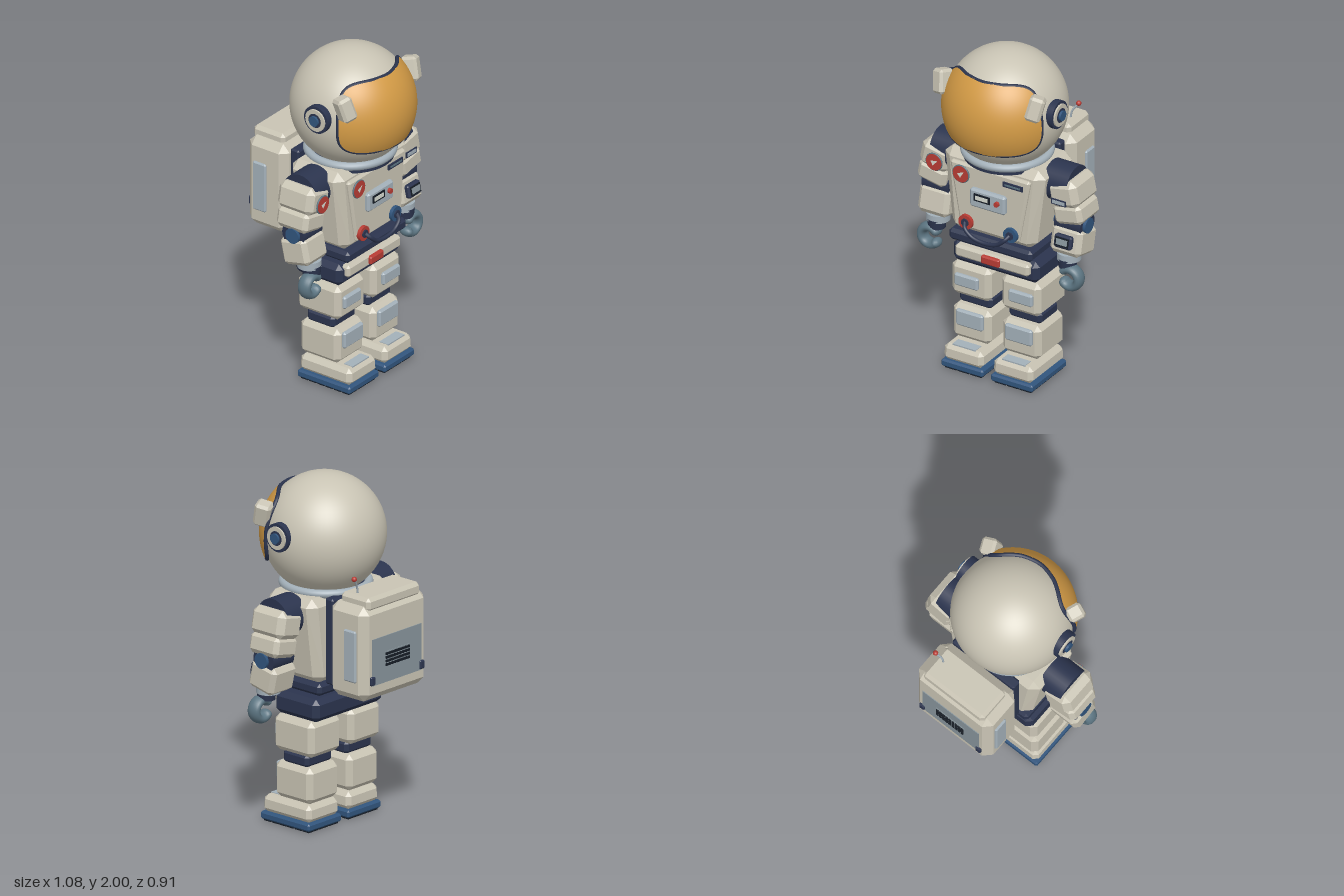
import * as THREE from 'three';
import { ConvexGeometry } from 'three/addons/geometries/ConvexGeometry.js';
import { ParametricGeometry } from 'three/addons/geometries/ParametricGeometry.js';

const mat = (name, color) => {
  const m = new THREE.MeshStandardMaterial({ color });
  m.name = name;
  return m;
};

// Box with flat chamfers; the top can be scaled in x and z for a taper
function chamferBox(w, h, d, c, topX = 1, topZ = 1) {
  const pts = [];
  for (const x of [-1, 1]) for (const y of [-1, 1]) for (const z of [-1, 1]) {
    for (const [a, b, e] of [[0, c, c], [c, 0, c], [c, c, 0]]) {
      const py = y * (h / 2 - b), t = py / h + 0.5;
      pts.push(new THREE.Vector3(x * (w / 2 - a) * (1 + (topX - 1) * t), py, z * (d / 2 - e) * (1 + (topZ - 1) * t)));
    }
  }
  return new ConvexGeometry(pts);
}
const alongX = (r, l) => new THREE.CylinderGeometry(r, r, l, 32).rotateZ(Math.PI / 2);
const alongZ = (r, l) => new THREE.CylinderGeometry(r, r, l, 32).rotateX(Math.PI / 2);
const box = (w, h, d) => new THREE.BoxGeometry(w, h, d);

export function createModel() {
  const suit = mat('suit cream', 0xc9c4b4), navy = mat('navy', 0x2b344e), blue = mat('blue', 0x31557d);
  const steel = mat('pale steel', 0xa3b0b9), glove = mat('glove grey', 0x5c7582), gold = mat('visor gold', 0xd29a45);
  const red = mat('red', 0xb83c34), black = mat('black', 0x161d26), pale = mat('pale screen', 0xd6dad0);
  const panelGrey = mat('panel grey', 0x87949b);

  const model = new THREE.Group();
  model.name = 'astronaut';
  const group = (name, x = 0, y = 0, z = 0, parent = model) => {
    const g = new THREE.Group();
    g.name = name;
    g.position.set(x, y, z);
    parent.add(g);
    return g;
  };
  const add = (parent, name, geo, m, x = 0, y = 0, z = 0, rx = 0, ry = 0, rz = 0) => {
    const mesh = new THREE.Mesh(geo, m);
    mesh.name = name;
    mesh.position.set(x, y, z);
    mesh.rotation.set(rx, ry, rz);
    parent.add(mesh);
    return mesh;
  };
  // Round patch: red disc, steel rim, slanted pale bar
  const roundPatch = (parent, x, y, z) => {
    const g = group('roundPatch', x, y, z, parent);
    add(g, 'patchDisc', alongZ(0.05, 0.012), red);
    add(g, 'patchRim', new THREE.TorusGeometry(0.05, 0.005, 8, 32), glove);
    add(g, 'patchBar', new THREE.CircleGeometry(0.03, 3).scale(1, 0.6, 1), pale, 0, 0, 0.008, 0, 0, 0.7);
  };

  // Helmet with a spherical visor patch bounded by a superellipse
  const helmet = group('helmet', 0, 1.655, 0.09);
  add(helmet, 'helmetShell', new THREE.SphereGeometry(0.345, 64, 40), suit);
  const azMax = 1.14, elMid = 0.165, elHalf = 0.625;
  const onSphere = (r, az, el, out) =>
    out.set(r * Math.cos(el) * Math.sin(az), r * Math.sin(el), r * Math.cos(el) * Math.cos(az));
  const visorGeo = new ParametricGeometry((u, v, out) => {
    const s = -Math.cos(Math.PI * u);
    const e = Math.pow(Math.max(0, 1 - Math.abs(s) ** 5), 0.2) * elHalf;
    onSphere(0.361, s * azMax, elMid + e * (2 * v - 1), out);
  }, 48, 24);
  const vp = visorGeo.attributes.position, vn = visorGeo.attributes.normal, n = new THREE.Vector3();
  for (let i = 0; i < vp.count; i++) {
    n.fromBufferAttribute(vp, i).normalize();
    vn.setXYZ(i, n.x, n.y, n.z);
  }
  add(helmet, 'visor', visorGeo, gold);
  const rim = [];
  const pow = (c) => Math.sign(c) * Math.abs(c) ** 0.4;
  for (let i = 0; i < 64; i++) {
    const t = (i / 64) * Math.PI * 2;
    rim.push(onSphere(0.351, pow(Math.cos(t)) * azMax, elMid + pow(Math.sin(t)) * elHalf, new THREE.Vector3()));
  }
  add(helmet, 'visorRim', new THREE.TubeGeometry(new THREE.CatmullRomCurve3(rim, true), 160, 0.012, 8, true), navy);

  for (const s of [-1, 1]) {
    add(helmet, 'visorLamp', chamferBox(0.088, 0.14, 0.095, 0.015), suit, s * 0.3, 0.14, 0.18, -0.22, s * 0.4, -s * 0.17);
    const ear = group('earPod', s * 0.33, 0.045, 0.025, helmet);
    add(ear, 'earBase', alongX(0.082, 0.06), navy);
    add(ear, 'earRing', alongX(0.066, 0.03), suit, s * 0.025);
    add(ear, 'earWell', alongX(0.042, 0.012), navy, s * 0.036);
    add(ear, 'earButton', alongX(0.03, 0.03), blue, s * 0.04);
  }

  // Torso and collar
  const torso = group('torso');
  add(torso, 'collar', new THREE.TorusGeometry(0.238, 0.024, 12, 64).rotateX(Math.PI / 2), steel, 0, 1.373, 0.08);
  add(torso, 'neckSeal', new THREE.CylinderGeometry(0.245, 0.245, 0.04, 48), navy, 0, 1.352, 0.08);
  add(torso, 'torsoShell', chamferBox(0.54, 0.5, 0.37, 0.045, 1.23, 0.97), suit, 0, 1.115, 0.068);
  add(torso, 'chestPlate', chamferBox(0.38, 0.4, 0.05, 0.012, 1.38), suit, 0, 1.11, 0.245);
  add(torso, 'waistBand', chamferBox(0.54, 0.07, 0.39, 0.018), navy, 0, 0.839, 0.075);
  add(torso, 'packMount', chamferBox(0.44, 0.5, 0.06, 0.01), navy, 0, 1.12, -0.142);

  // Chest details
  const chest = group('chestDetails', 0, 0, 0.272);
  roundPatch(chest, -0.18, 1.245, 0.004);
  add(chest, 'namePlate', box(0.13, 0.03, 0.012), navy, 0.155, 1.26, 0);
  add(chest, 'namePlateInset', box(0.1, 0.01, 0.004), glove, 0.155, 1.26, 0.007);
  add(chest, 'controlPanel', chamferBox(0.23, 0.115, 0.04, 0.012), steel, 0, 1.128, 0.004);
  add(chest, 'screenFrame', box(0.105, 0.044, 0.008), black, -0.03, 1.14, 0.026);
  add(chest, 'screen', box(0.08, 0.024, 0.004), pale, -0.03, 1.14, 0.031);
  add(chest, 'panelButton', alongZ(0.015, 0.022), red, 0.068, 1.137, 0.03);
  for (const [s, m] of [[-1, red], [1, blue]]) {
    add(chest, 'hosePort', alongZ(0.044, 0.025), m, s * 0.145, 0.955, 0.005);
    add(chest, 'hosePortSocket', alongZ(0.023, 0.035), navy, s * 0.145, 0.955, 0.008);
  }
  const hosePath = [[-0.145, 0.955, 0.02], [-0.13, 0.935, 0.045], [-0.08, 0.895, 0.05], [0, 0.88, 0.05],
    [0.08, 0.895, 0.05], [0.13, 0.935, 0.045], [0.145, 0.955, 0.02]].map((p) => new THREE.Vector3(...p));
  add(chest, 'hose', new THREE.TubeGeometry(new THREE.CatmullRomCurve3(hosePath), 40, 0.012, 10), navy);

  // Pelvis and belt
  const pelvis = group('pelvis');
  add(pelvis, 'pelvisBlock', chamferBox(0.56, 0.132, 0.325, 0.03), navy, 0, 0.71, 0.058);
  add(pelvis, 'beltPlate', chamferBox(0.48, 0.075, 0.06, 0.015), suit, 0, 0.735, 0.222);
  add(pelvis, 'buckle', chamferBox(0.12, 0.05, 0.03, 0.008), red, 0, 0.737, 0.255);

  // Backpack
  const pack = group('backpack', 0, 0, -0.31);
  add(pack, 'packBody', chamferBox(0.53, 0.55, 0.275, 0.045), suit, 0, 1.107, 0);
  add(pack, 'packLid', chamferBox(0.43, 0.08, 0.215, 0.02), suit, 0, 1.39, -0.018);
  add(pack, 'backPanel', box(0.4, 0.27, 0.008), panelGrey, 0, 1.06, -0.138);
  add(pack, 'grillePlate', box(0.2, 0.09, 0.004), panelGrey, 0, 1.06, -0.143);
  for (let r = 0; r < 4; r++) for (let c = 0; c < 9; c++) {
    add(pack, 'grilleStud', box(0.016, 0.014, 0.01), black, (c - 4) * 0.022, 1.028 + r * 0.021, -0.146);
  }
  for (const s of [-1, 1]) {
    add(pack, 'packLatch', chamferBox(0.036, 0.05, 0.025, 0.006), navy, s * 0.2, 0.955, -0.139);
    add(pack, 'sidePanel', chamferBox(0.03, 0.3, 0.09, 0.008), steel, s * 0.262, 1.095, -0.035);
  }
  const mast = new THREE.CatmullRomCurve3([[0.165, 1.42, 0], [0.175, 1.47, -0.002], [0.21, 1.52, -0.014]]
    .map((p) => new THREE.Vector3(...p)));
  add(pack, 'antenna', new THREE.TubeGeometry(mast, 16, 0.006, 8), steel);
  add(pack, 'antennaTip', new THREE.SphereGeometry(0.015, 16, 12), red, 0.21, 1.522, -0.014);

  for (const s of [-1, 1]) {
    // Arm
    const arm = group(s > 0 ? 'leftArm' : 'rightArm');
    add(arm, 'shoulderJoint', alongX(0.115, 0.155), navy, s * 0.367, 1.262, 0.07);
    const upper = group('upperArm', s * 0.425, 1.19, 0.07, arm);
    upper.rotation.z = s * 0.2;
    add(upper, 'shoulderPad', chamferBox(0.19, 0.165, 0.245, 0.035), suit, 0, 0.046, 0);
    add(upper, 'upperArmSleeve', chamferBox(0.185, 0.12, 0.215, 0.025), suit, 0, -0.078, 0);
    if (s < 0) roundPatch(upper, 0.015, 0.03, 0.126);
    else {
      add(upper, 'armTagFrame', box(0.095, 0.034, 0.008), navy, -0.02, 0.012, 0.124, 0, 0, -0.2);
      add(upper, 'armTag', box(0.08, 0.02, 0.004), steel, -0.02, 0.012, 0.129, 0, 0, -0.2);
    }
    add(arm, 'elbowJoint', alongX(0.075, 0.17), navy, s * 0.43, 1.035, 0.075);
    add(arm, 'elbowCap', alongX(0.045, 0.205), blue, s * 0.43, 1.035, 0.08);
    const fore = group('forearm', s * 0.43, 0.932, 0.085, arm);
    fore.rotation.x = -0.22;
    add(fore, 'forearmSleeve', chamferBox(0.198, 0.165, 0.185, 0.025), suit);
    if (s > 0) {
      add(fore, 'wristDisplay', chamferBox(0.112, 0.078, 0.04, 0.01), navy, 0, 0, 0.1);
      add(fore, 'wristScreenFrame', box(0.085, 0.052, 0.006), black, 0, 0, 0.121);
      add(fore, 'wristScreen', box(0.07, 0.034, 0.004), panelGrey, 0, 0, 0.125);
    }
    add(arm, 'cuff', new THREE.CylinderGeometry(0.068, 0.068, 0.045, 32), steel, s * 0.425, 0.842, 0.12);
    add(arm, 'wrist', new THREE.CylinderGeometry(0.055, 0.05, 0.055, 32), navy, s * 0.425, 0.804, 0.135);
    // Open claw hand, gap facing the body
    const hand = group('hand', s * 0.455, 0.722, 0.15, arm);
    hand.scale.z = 1.55;
    const start = s < 0 ? 0.75 : Math.PI + 0.75, arc = 4.75;
    add(hand, 'clawGrip', new THREE.TorusGeometry(0.054, 0.027, 14, 32, arc), glove, 0, 0, 0, 0, 0, start);
    for (const a of [start, start + arc]) {
      add(hand, 'clawTip', new THREE.SphereGeometry(0.027, 14, 10), glove, 0.054 * Math.cos(a), 0.054 * Math.sin(a), 0);
    }

    // Leg
    const leg = group(s > 0 ? 'leftLeg' : 'rightLeg', s * 0.161);
    add(leg, 'thigh', chamferBox(0.256, 0.208, 0.295, 0.03), suit, 0, 0.537, 0.07);
    add(leg, 'thighPad', chamferBox(0.155, 0.075, 0.03, 0.01), steel, s * 0.015, 0.542, 0.222);
    add(leg, 'kneeJoint', chamferBox(0.215, 0.08, 0.19, 0.02), navy, 0, 0.402, 0.07);
    add(leg, 'shin', chamferBox(0.25, 0.21, 0.275, 0.03), suit, 0, 0.265, 0.074);
    add(leg, 'shinPad', chamferBox(0.175, 0.1, 0.03, 0.01), steel, s * -0.002, 0.302, 0.216);
    add(leg, 'boot', chamferBox(0.26, 0.1, 0.36, 0.025, 0.96, 0.97), suit, 0, 0.104, 0.118);
    add(leg, 'toePlate', box(0.15, 0.008, 0.06), steel, 0, 0.153, 0.245);
    add(leg, 'sole', chamferBox(0.272, 0.045, 0.366, 0.01), blue, 0, 0.033, 0.118);
    for (let i = 0; i < 6; i++) for (const k of [-1, 0, 1]) {
      add(leg, 'tread', box(0.074, 0.014, 0.048), black, k * 0.082, 0.007, -0.025 + i * 0.057);
    }
  }
  return model;
}
